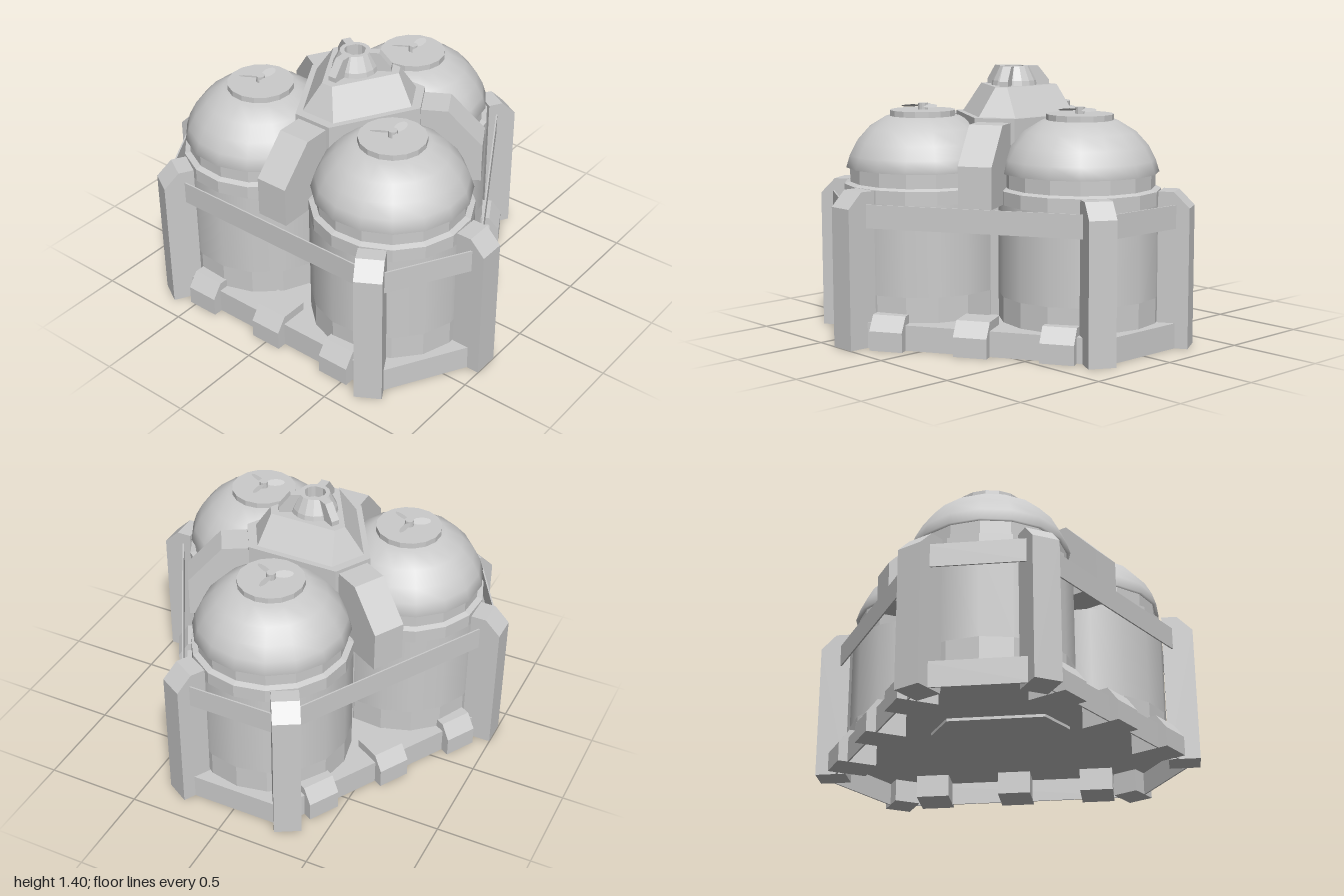
import * as THREE from 'three';
import { ConvexGeometry } from 'three/addons/geometries/ConvexGeometry.js';

const smooth = new THREE.MeshStandardMaterial({ color: 0xcccccc });
const flat = new THREE.MeshStandardMaterial({ color: 0xcccccc, flatShading: true });
const thin = new THREE.MeshStandardMaterial({ color: 0xcccccc, side: THREE.DoubleSide });
const V2 = (p) => new THREE.Vector2(...p);

function add(parent, name, geometry, material = flat, pos = [0, 0, 0], turn = 0) {
  const mesh = new THREE.Mesh(geometry, material);
  mesh.name = name;
  mesh.position.set(...pos);
  mesh.rotation.y = turn;
  parent.add(mesh);
  return mesh;
}

// Six-sided outline: long sides at distance a, short sides at distance b.
// dir = 1 points a short side to the back, -1 to the front.
function hexagon(a, b, dir = 1) {
  const s = (a - b / 2) / Math.sin(Math.PI / 3);
  const points = [];
  for (let k = 0; k < 3; k++) {
    const t = Math.PI / 2 + (k * 2 * Math.PI) / 3;
    for (const side of [-1, 1]) {
      points.push(V2([
        dir * (b * Math.cos(t) - side * s * Math.sin(t)),
        dir * (b * Math.sin(t) + side * s * Math.cos(t)),
      ]));
    }
  }
  return points;
}

// Horizontal slab from an outline, with an optional hole
function slab(outline, y0, y1, hole) {
  const shape = new THREE.Shape(outline);
  if (hole) shape.holes.push(new THREE.Path(hole));
  return new THREE.ExtrudeGeometry(shape, { depth: y1 - y0, bevelEnabled: false })
    .rotateX(-Math.PI / 2).translate(0, y0, 0);
}

// Side profile (x outward, y up) extruded to a width about its centre
function prism(profile, width) {
  const shape = new THREE.Shape(profile.map(V2));
  return new THREE.ExtrudeGeometry(shape, { depth: width, bevelEnabled: false })
    .translate(0, 0, -width / 2);
}

const lathe = (profile) => new THREE.LatheGeometry(profile.map(V2), 16);

function frustum(low, y0, high, y1) {
  const at = (points, y) => points.map((p) => new THREE.Vector3(p.x, y, -p.y));
  return new ConvexGeometry([...at(low, y0), ...at(high, y1)]);
}

function makeFan() {
  const fan = new THREE.Group();
  fan.name = 'fan';
  add(fan, 'fanHub', new THREE.CylinderGeometry(0.024, 0.024, 0.04, 10), flat, [0, 1.192, 0]);
  for (let i = 0; i < 3; i++) {
    const arm = new THREE.Group();
    arm.name = 'fanBlade';
    arm.position.y = 1.2;
    arm.rotation.y = Math.PI / 2 + (i * 2 * Math.PI) / 3;
    const blade = new THREE.CircleGeometry(0.05, 12)
      .scale(1, 0.46, 1).rotateX(-Math.PI / 2 + 0.35).translate(0.063, 0, 0);
    add(arm, 'blade', blade, thin);
    fan.add(arm);
  }
  return fan;
}

function makeTank() {
  const tank = new THREE.Group();
  tank.name = 'tank';
  const r = 0.415;
  add(tank, 'tankFoot', lathe([[r, 0.125], [r, 0.26]]));
  add(tank, 'tankWall', lathe([[r, 0.26], [r, 0.73]]), smooth);
  add(tank, 'tankCollar', lathe([[r, 0.73], [r, 0.8], [0.385, 0.81], [0.385, 0.885]]));
  // The lip is part of the dome so that its shading rolls under the edge
  add(tank, 'dome', lathe([[0.38, 0.885], [0.405, 0.885], [0.385, 0.95], [0.348, 1.02], [0.285, 1.09], [0.195, 1.145], [0, 1.165]]), smooth);
  add(tank, 'domeCap', new THREE.CylinderGeometry(0.172, 0.172, 0.03, 16), flat, [0, 1.163, 0]);
  tank.add(makeFan());
  return tank;
}

// One third of the structure: a tank at the back, an arm and clamps at the front
function makeSector() {
  const sector = new THREE.Group();
  sector.name = 'sector';
  const tank = makeTank();
  tank.position.z = -0.49;
  sector.add(tank);

  // Corner posts with a chamfered outer top
  const post = prism([[-0.11, 0], [0.05, 0], [0.05, 0.72], [-0.03, 0.8], [-0.11, 0.8]], 0.14);
  for (const side of [-1, 1]) {
    add(sector, 'cornerPost', post, flat, [side * 0.298, 0, -0.923], Math.PI / 2 - side * Math.PI / 6);
  }

  // Sloping arm from the core to the long side
  const arm = prism([[0.2, 0.73], [0.663, 0.73], [0.663, 0.94], [0.483, 1.13], [0.2, 1.13]], 0.175);
  add(sector, 'supportArm', arm, flat, [0, 0, 0], -Math.PI / 2);

  // Clamps reaching through the foot of the long side
  const clamp = prism([[0.55, 0], [0.755, 0], [0.755, 0.1], [0.7, 0.175], [0.55, 0.175]], 0.175);
  for (const x of [-0.445, 0, 0.445]) add(sector, 'baseClamp', clamp, flat, [x, 0, 0], -Math.PI / 2);

  // Fin on the vent
  const fin = prism([[0.05, 1.3], [0.185, 1.3], [0.185, 1.325], [0.125, 1.4], [0.05, 1.4]], 0.045);
  add(sector, 'ventFin', fin, flat, [0, 0, 0], -Math.PI / 2);
  return sector;
}

export function createModel() {
  const model = new THREE.Group();
  model.name = 'tankCluster';
  const body = new THREE.Group();
  body.name = 'body';
  body.position.z = 0.112;
  model.add(body);

  // Base: a thin skirt, open below, under a floor plate; above it a thin ring beam
  const outline = hexagon(0.705, 0.943);
  const inside = hexagon(0.697, 0.935);
  add(body, 'baseSkirt', slab(outline, 0, 0.13, inside));
  add(body, 'floor', slab(inside, 0.12, 0.13));
  add(body, 'ringBeam', slab(outline, 0.615, 0.735, inside));

  // Central core with a narrow ledge around its tapered roof
  add(body, 'core', slab(hexagon(0.265, 0.345, -1), 0.105, 1.15));
  add(body, 'coreRoof', frustum(hexagon(0.235, 0.3, -1), 1.15, hexagon(0.14, 0.225, -1), 1.3));

  // Hollow vent on the roof
  const vent = lathe([[0.12, 1.3], [0.115, 1.325], [0.078, 1.4], [0.055, 1.4], [0.055, 1.34], [0, 1.34]]);
  add(body, 'vent', vent);

  for (let i = 0; i < 3; i++) {
    const sector = makeSector();
    sector.rotation.y = (i * 2 * Math.PI) / 3;
    body.add(sector);
  }
  return model;
}
